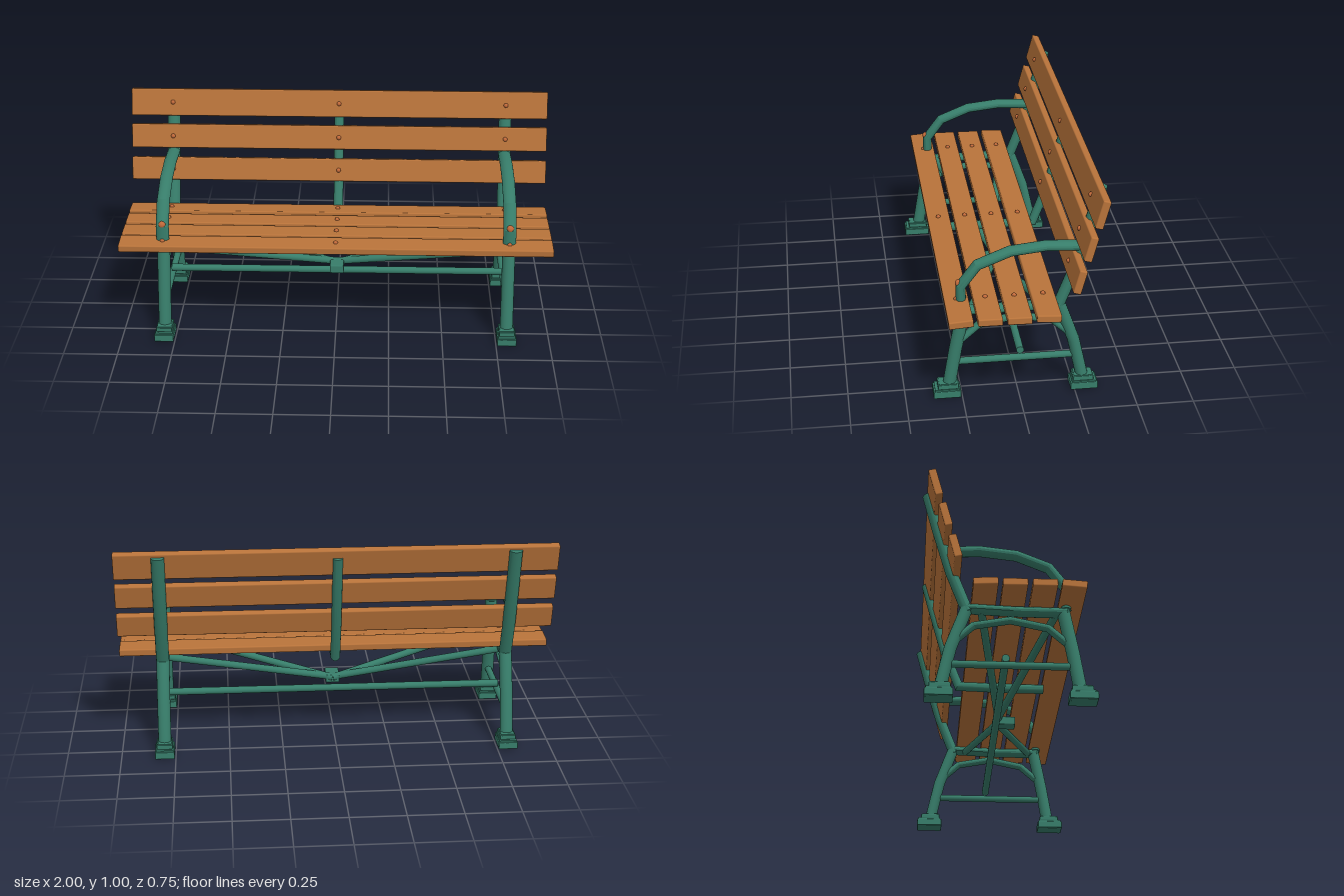
import * as THREE from 'three';
import { toCreasedNormals } from 'three/addons/utils/BufferGeometryUtils.js';
import { RoundedBoxGeometry } from 'three/addons/geometries/RoundedBoxGeometry.js';

const iron = new THREE.MeshStandardMaterial({ name: 'green iron', color: 0x377d6a });
const wood = new THREE.MeshStandardMaterial({ name: 'brown wood', color: 0xb8733a });
const copper = new THREE.MeshStandardMaterial({ name: 'copper bolt', color: 0xc0693a });

function add(parent, name, geometry, material, x = 0, y = 0, z = 0) {
  const mesh = new THREE.Mesh(geometry, material);
  mesh.name = name;
  mesh.position.set(x, y, z);
  parent.add(mesh);
  return mesh;
}

// Oval bar swept along [z, y] points with mitred bends; hx = half width, ht = half thickness
function bar(points, hx, ht, sides = 16) {
  const p = points.map(([z, y]) => new THREE.Vector2(z, y));
  const pos = [], index = [];
  p.forEach((c, i) => {
    const before = p[Math.max(i - 1, 0)], after = p[Math.min(i + 1, p.length - 1)];
    const d1 = (i ? c.clone().sub(before) : after.clone().sub(c)).normalize();
    const d2 = (i < p.length - 1 ? after.clone().sub(c) : d1.clone()).normalize();
    const t = d1.clone().add(d2).normalize();
    const h = ht / t.dot(d1);
    for (let j = 0; j < sides; j++) {
      const a = (j / sides) * Math.PI * 2, s = Math.sin(a) * h;
      pos.push(Math.cos(a) * hx, c.y + t.x * s, c.x - t.y * s);
    }
  });
  const last = (p.length - 1) * sides;
  const start = pos.length / 3, end = start + 1;
  pos.push(0, p[0].y, p[0].x, 0, p[p.length - 1].y, p[p.length - 1].x);
  for (let j = 0; j < sides; j++) {
    const k = (j + 1) % sides;
    for (let r = 0; r < last; r += sides) {
      index.push(r + j, r + k, r + sides + k, r + j, r + sides + k, r + sides + j);
    }
    index.push(start, k, j, end, last + j, last + k);
  }
  const geo = new THREE.BufferGeometry();
  geo.setAttribute('position', new THREE.Float32BufferAttribute(pos, 3));
  geo.setIndex(index);
  return toCreasedNormals(geo, 0.45);
}

// Round rod between two points
function rod(parent, name, a, b, radius) {
  const from = new THREE.Vector3(...a), to = new THREE.Vector3(...b);
  const dir = to.clone().sub(from);
  const mesh = add(parent, name, new THREE.CylinderGeometry(radius, radius, dir.length(), 16), iron);
  mesh.position.copy(from).add(to).multiplyScalar(0.5);
  mesh.quaternion.setFromUnitVectors(new THREE.Vector3(0, 1, 0), dir.normalize());
}

// Cast end frame with legs, arm, back post and feet
function endFrame(x) {
  const frame = new THREE.Group();
  frame.name = x > 0 ? 'leftFrame' : 'rightFrame';
  frame.position.x = x;
  add(frame, 'frontLeg', bar([[0.305, 0.05], [0.275, 0.23], [0.237, 0.425]], 0.03, 0.029), iron);
  add(frame, 'rearLeg', bar([[-0.287, 0.05], [-0.245, 0.24], [-0.178, 0.425]], 0.03, 0.027), iron);
  add(frame, 'seatRail', bar([[0.255, 0.417], [0.03, 0.417], [-0.185, 0.425]], 0.03, 0.021), iron);
  add(frame, 'backPost', bar([[-0.172, 0.405], [-0.247, 0.6], [-0.308, 0.81], [-0.352, 0.977]], 0.03, 0.025), iron);
  add(frame, 'armrest', bar([[-0.26, 0.7], [-0.12, 0.707], [0.037, 0.69], [0.178, 0.633], [0.25, 0.537], [0.25, 0.43]], 0.03, 0.022), iron);
  add(frame, 'archBrace', bar([[0.27, 0.255], [0.172, 0.342], [0.01, 0.375], [-0.148, 0.345], [-0.235, 0.265]], 0.02, 0.016), iron);
  rod(frame, 'sideStretcher', [0, 0.163, 0.28], [0, 0.163, -0.265], 0.016);
  for (const z of [0.316, -0.293]) {
    add(frame, 'footBase', new RoundedBoxGeometry(0.09, 0.034, 0.122, 1, 0.004), iron, 0, 0.018, z);
    add(frame, 'footBasePlate', new THREE.BoxGeometry(0.08, 0.042, 0.108), iron, 0, 0.021, z);
    add(frame, 'footCollar', new RoundedBoxGeometry(0.074, 0.022, 0.092, 1, 0.004), iron, 0, 0.052, z * 0.985);
    add(frame, 'footCollarPlate', new THREE.BoxGeometry(0.064, 0.028, 0.08), iron, 0, 0.052, z * 0.985);
  }
  const ball = add(frame, 'armBolt', new THREE.SphereGeometry(0.017, 16, 10), copper, 0, 0.55, 0.259);
  ball.scale.z = 0.9;
  return frame;
}

// Plank with three domed bolts; lean tips it about x, face is the axis the bolts stand on
function plank(parent, name, y, z, height, depth, lean, face) {
  const group = new THREE.Group();
  group.name = name;
  group.position.set(0, y, z);
  group.rotation.x = lean;
  add(group, 'board', new RoundedBoxGeometry(2, height, depth, 2, 0.006), wood);
  for (const x of [-0.8, 0, 0.8]) {
    const bolt = add(group, 'bolt', new THREE.SphereGeometry(0.011, 12, 8), copper, x);
    bolt.position[face] = (face === 'y' ? height : depth) / 2;
  }
  parent.add(group);
}

export function createModel() {
  const bench = new THREE.Group();
  bench.name = 'parkBench';
  bench.add(endFrame(0.8), endFrame(-0.8));

  // Seat: [y, z, lean]
  for (const [y, z, lean] of [[0.457, 0.269, 0.07], [0.459, 0.145, -0.01], [0.458, 0.019, -0.02], [0.459, -0.106, -0.06]]) {
    plank(bench, 'seatSlat', y, z, 0.034, 0.106, lean, 'y');
  }
  // Backrest: [y, z, height]
  for (const [y, z, height] of [[0.933, -0.323, 0.13], [0.776, -0.278, 0.115], [0.624, -0.235, 0.11]]) {
    plank(bench, 'backSlat', y, z, height, 0.035, -0.262, 'z');
  }

  // Middle support under the seat and up the back
  add(bench, 'middleSupport', bar([[0.22, 0.42], [0.03, 0.42], [-0.18, 0.425], [-0.247, 0.6], [-0.305, 0.81], [-0.343, 0.955]], 0.023, 0.021), iron);

  // Underside bracing
  rod(bench, 'longStretcher', [-0.8, 0.197, -0.01], [0.8, 0.197, -0.01], 0.017);
  add(bench, 'braceHub', new RoundedBoxGeometry(0.066, 0.04, 0.1, 1, 0.005), iron, 0, 0.243, 0.035);
  for (const x of [-0.8, 0.8]) {
    rod(bench, 'frontStrut', [x, 0.418, 0.21], [0, 0.246, -0.005], 0.017);
    rod(bench, 'rearStrut', [x, 0.418, -0.115], [0, 0.246, 0.01], 0.017);
  }
  return bench;
}
